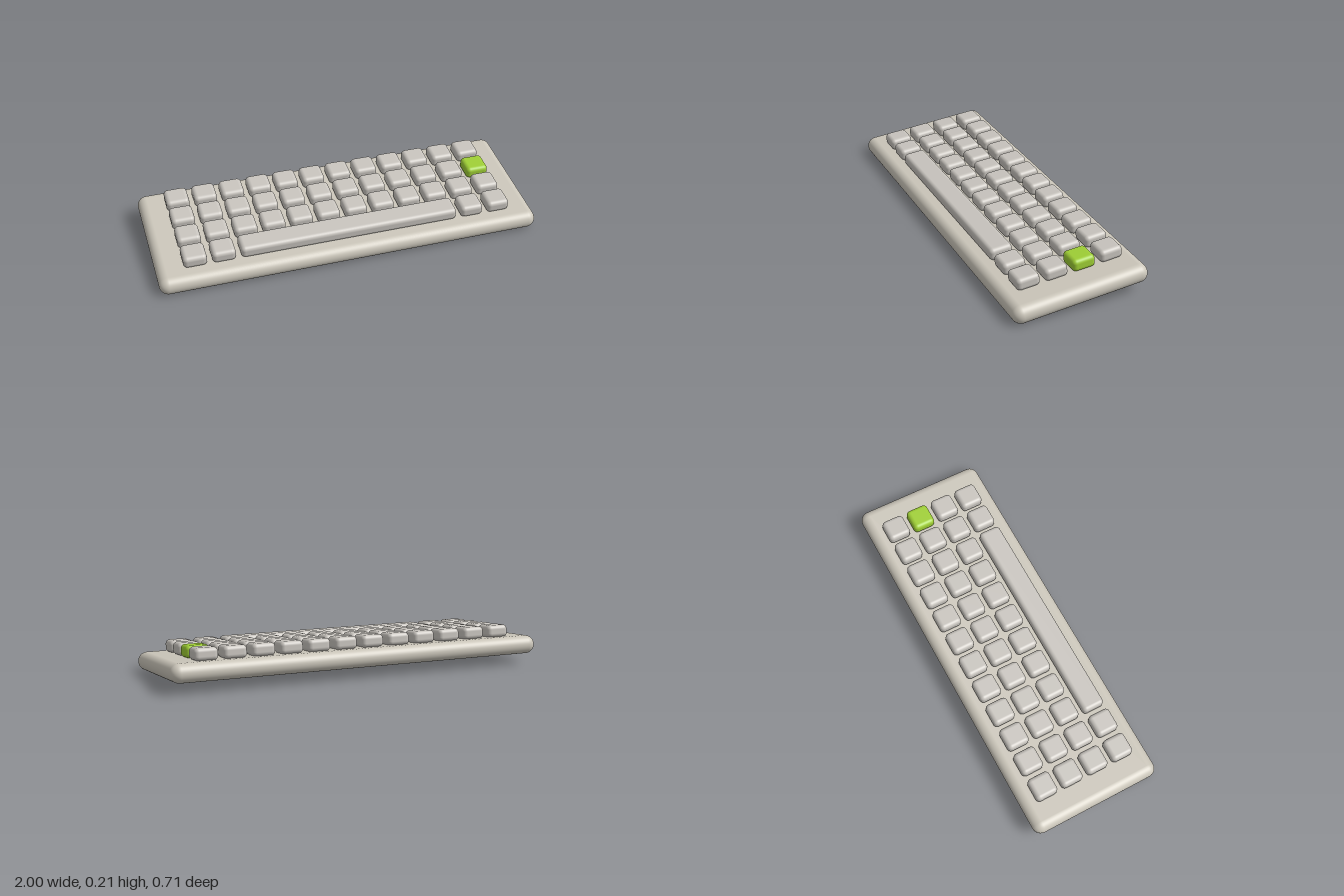
import * as THREE from 'three';
import { RoundedBoxGeometry } from 'three/addons/geometries/RoundedBoxGeometry.js';

const paint = (name, color) => {
  const m = new THREE.MeshStandardMaterial({ color });
  m.name = name;
  return m;
};

export function createModel() {
  const caseMat = paint('warm grey case', 0xcbc6ba);
  const keyMat = paint('light grey keys', 0xc8c4be);
  const accentMat = paint('lime accent key', 0x9fcf35);

  const thickness = 0.096, pitch = 0.1464, keySize = 0.12, keyHeight = 0.065;
  const columns = 12, rows = 4;

  // Everything sits on a slab tilted down towards the front
  const keyboard = new THREE.Group();
  keyboard.name = 'keyboard';
  keyboard.rotation.x = THREE.MathUtils.degToRad(5);
  keyboard.position.y = 0.0747;

  const slab = new THREE.Mesh(new RoundedBoxGeometry(2, thickness, 0.712, 6, 0.0475), caseMat);
  slab.name = 'case';
  keyboard.add(slab);

  // Keycaps share one geometry, the space bar spans eight columns
  const keys = new THREE.Group();
  keys.name = 'keys';
  keys.position.set(0, thickness / 2 + 0.0295, -0.005);
  keyboard.add(keys);

  const capGeometry = new RoundedBoxGeometry(keySize, keyHeight, keySize, 5, 0.022);
  const barGeometry = new RoundedBoxGeometry(7 * pitch + keySize, keyHeight, keySize, 5, 0.022);
  const addKey = (name, geometry, material, x, z) => {
    const key = new THREE.Mesh(geometry, material);
    key.name = name;
    key.position.set(x, 0, z);
    keys.add(key);
  };

  for (let row = 0; row < rows; row++) {
    const z = (row - (rows - 1) / 2) * pitch;
    for (let col = 0; col < columns; col++) {
      if (row === 3 && col >= 2 && col <= 9) continue; // space bar gap
      const accent = row === 1 && col === columns - 1;
      const x = (col - (columns - 1) / 2) * pitch;
      addKey(accent ? 'accentKey' : 'key', capGeometry, accent ? accentMat : keyMat, x, z);
    }
  }
  addKey('spaceBar', barGeometry, keyMat, 0, 1.5 * pitch);

  const model = new THREE.Group();
  model.name = 'compactKeyboard';
  model.add(keyboard);
  return model;
}
